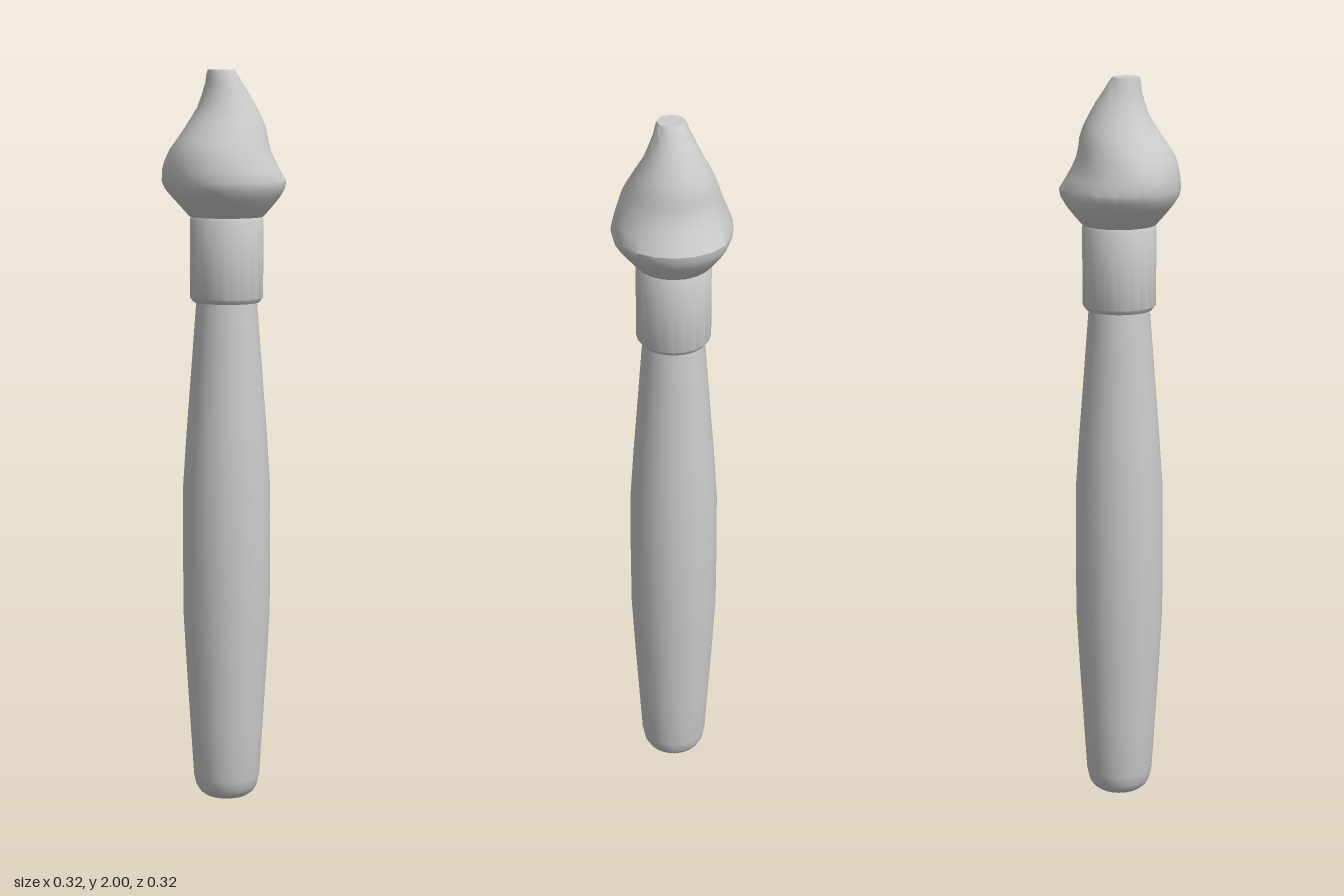
import * as THREE from 'three';
import { toCreasedNormals } from 'three/addons/utils/BufferGeometryUtils.js';

const SIDES = 20;
const grey = new THREE.MeshStandardMaterial({ color: 0xcccccc });

// Turned part from [radius, y] pairs, listed from bottom to top
function lathe(profile) {
  return new THREE.LatheGeometry(profile.map(([r, y]) => new THREE.Vector2(r, y)), SIDES);
}

function part(name, geometry) {
  const mesh = new THREE.Mesh(toCreasedNormals(geometry, 0.65), grey);
  mesh.name = name;
  return mesh;
}

// Soft bump: 1 at the centre, fading to 0 at the given width
function bump(d, width) {
  const t = Math.min(1, Math.abs(d) / width);
  return (1 - t * t) ** 2;
}

const angleGap = (a, b) => Math.atan2(Math.sin(a - b), Math.cos(a - b));

// Bristle rings: [radius, y, sideways shift of the ring centre]
const RINGS = [
  [0, 1.605, 0], [0.1, 1.61, 0], [0.122, 1.635, 0], [0.144, 1.662, 0], [0.158, 1.685, -0.001],
  [0.162, 1.705, -0.002], [0.152, 1.735, -0.011], [0.143, 1.76, -0.016], [0.132, 1.79, -0.019],
  [0.122, 1.815, -0.014], [0.111, 1.842, -0.006], [0.097, 1.87, -0.001], [0.08, 1.9, 0.001],
  [0.064, 1.935, -0.003], [0.049, 1.967, -0.01], [0.042, 1.988, -0.016], [0.036, 2, -0.019], [0, 2, -0.019],
];

function bristleGeometry() {
  const geometry = lathe(RINGS);
  const pos = geometry.attributes.position;
  for (let i = 0; i < pos.count; i++) {
    const [r, y, shift] = RINGS[i % RINGS.length];
    const angle = Math.atan2(pos.getX(i), pos.getZ(i));
    // Tuft swelling at the back left, shallow dent at the back right
    const swell = 0.016 * bump(angleGap(angle, -2.42), 0.7) * bump(y - 1.735, 0.1);
    const dent = 0.012 * bump(angleGap(angle, 2.6), 0.5) * bump(y - 1.72, 0.09);
    const k = r > 0 ? (r + swell - dent) / r : 1;
    pos.setXYZ(i, pos.getX(i) * k + shift, y, pos.getZ(i) * k);
  }
  return geometry;
}

export function createModel() {
  const brush = new THREE.Group();
  brush.name = 'paintBrush';

  // Swollen handle with a rounded butt
  brush.add(part('handle', lathe([
    [0, 0], [0.06, 0.004], [0.075, 0.015], [0.085, 0.032], [0.091, 0.06], [0.1, 0.2], [0.11, 0.36],
    [0.119, 0.52], [0.12, 0.7], [0.119, 0.88], [0.109, 1.03], [0.099, 1.16], [0.09, 1.28], [0.082, 1.385], [0, 1.385],
  ])));

  // Collar holding the bristles
  brush.add(part('ferrule', lathe([
    [0, 1.38], [0.09, 1.38], [0.099, 1.392], [0.099, 1.603], [0.094, 1.612], [0, 1.612],
  ])));

  // Lopsided bristle tuft with a small blunt tip
  brush.add(part('bristles', bristleGeometry()));
  return brush;
}
